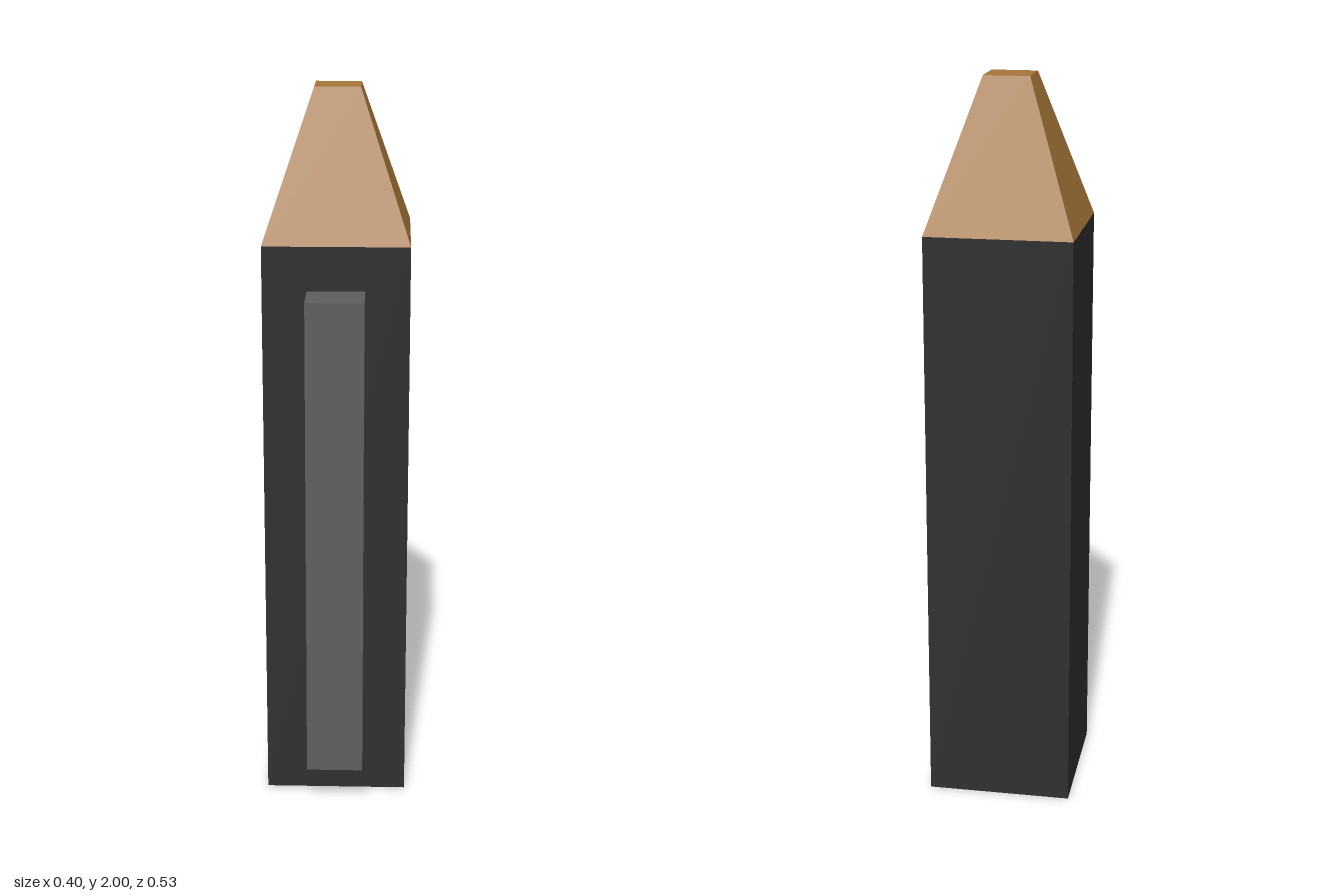
import * as THREE from 'three';

const HALF = 0.198;      // half width of the square body
const BODY_Z = -0.065;   // the body sits back to leave room for the clip
const BODY_TOP = 1.6;

export function createModel() {
  const group = new THREE.Group();
  const material = (name, color) => {
    const m = new THREE.MeshStandardMaterial({ color, flatShading: true });
    m.name = name;
    return m;
  };
  const charcoal = material('charcoal', 0x2f2f2f);
  const grey = material('grey', 0x5f5f5f);
  const bronze = material('bronze', 0xa67639);

  const add = (name, geometry, mat, x, y, z) => {
    const mesh = new THREE.Mesh(geometry, mat);
    mesh.name = name;
    mesh.position.set(x, y, z);
    group.add(mesh);
  };

  // Square shaft
  add('body', new THREE.BoxGeometry(HALF * 2, BODY_TOP, HALF * 2), charcoal, 0, BODY_TOP / 2, BODY_Z);

  // Blunt four-sided tip, turned so its faces line up with the shaft
  const tip = new THREE.CylinderGeometry(0.062 * Math.SQRT2, HALF * Math.SQRT2, 2 - BODY_TOP, 4);
  tip.rotateY(Math.PI / 4);
  add('tip', tip, bronze, 0, (BODY_TOP + 2) / 2, BODY_Z);

  // Long bar on the front face
  add('frontBar', new THREE.BoxGeometry(0.156, 1.355, 0.13), grey, 0, 0.8025, 0.198);

  return group;
}
